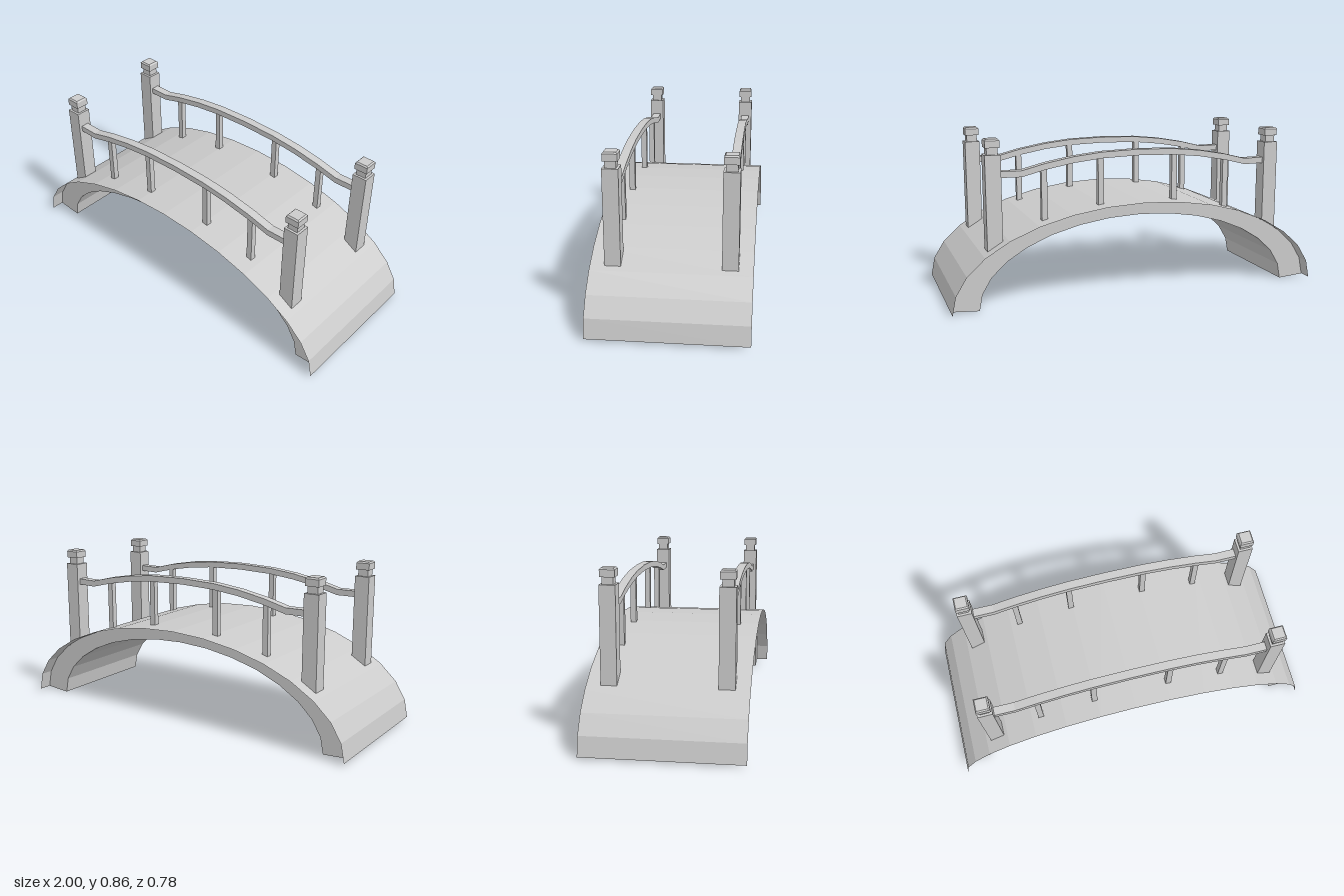
import * as THREE from 'three';

const SEGMENTS = 16;

export function createModel() {
  const bridge = new THREE.Group();
  bridge.name = 'footbridge';
  const material = new THREE.MeshStandardMaterial({ color: 0xcccccc, flatShading: true });
  const sheetMaterial = material.clone();
  sheetMaterial.side = THREE.DoubleSide;

  const add = (parent, name, geometry, x = 0, y = 0, z = 0, mat = material) => {
    const mesh = new THREE.Mesh(geometry, mat);
    mesh.name = name;
    mesh.position.set(x, y, z);
    parent.add(mesh);
    return mesh;
  };
  // Extrudes a front outline, centred in depth
  const slab = (points, depth) =>
    new THREE.ExtrudeGeometry(new THREE.Shape(points), { depth, bevelEnabled: false }).translate(0, 0, -depth / 2);
  // Points of a half ellipse, from right foot to left foot
  const arc = (rx, ry, base) => Array.from({ length: SEGMENTS + 1 }, (_, i) => {
    const a = (i / SEGMENTS) * Math.PI;
    return new THREE.Vector2(rx * Math.cos(a), base + ry * Math.sin(a));
  });

  // Solid arch, set just under the deck surface
  add(bridge, 'arch', slab([...arc(0.998, 0.493, 0.01), ...arc(0.855, 0.433, 0).reverse()], 0.64));

  // Thin curved deck that overhangs the arch on both sides
  const deck = new THREE.PlaneGeometry(2, 0.78, SEGMENTS, 1);
  const pos = deck.attributes.position;
  for (let i = 0; i < pos.count; i++) {
    const a = ((1 - pos.getX(i)) / 2) * Math.PI;
    pos.setXYZ(i, Math.cos(a), 0.01 + 0.495 * Math.sin(a), -pos.getY(i));
  }
  deck.computeVertexNormals();
  add(bridge, 'deck', deck, 0, 0, 0, sheetMaterial);

  // Handrail outline: a shallow arc that levels out at the posts
  const half = [[0.735, 0.68], [0.62, 0.678], [0.5, 0.708], [0.35, 0.735], [0.2, 0.751]];
  const path = [...half, [0, 0.757], ...half.map(([x, y]) => [-x, y]).reverse()];
  const edge = (offset) => path.map(([x, y]) => new THREE.Vector2(x, y + offset));
  const railGeometry = slab([...edge(0.016), ...edge(-0.016).reverse()], 0.045);

  // Square frustum for the bevelled cap top
  const capTop = new THREE.CylinderGeometry(0.06 * Math.SQRT1_2, 0.073 * Math.SQRT1_2, 0.008, 4)
    .rotateY(Math.PI / 4);

  for (const side of [1, -1]) {
    const railing = new THREE.Group();
    railing.name = side > 0 ? 'frontRailing' : 'backRailing';
    railing.position.z = 0.28 * side;
    bridge.add(railing);
    add(railing, 'handrail', railGeometry);

    for (const end of [1, -1]) {
      const post = new THREE.Group();
      post.name = end > 0 ? 'leftPost' : 'rightPost';
      post.position.x = 0.767 * end;
      railing.add(post);
      add(post, 'shaft', new THREE.BoxGeometry(0.079, 0.49, 0.079), 0, 0.535);
      add(post, 'neck', new THREE.BoxGeometry(0.055, 0.04, 0.055), 0, 0.798);
      add(post, 'cap', new THREE.BoxGeometry(0.073, 0.035, 0.073), 0, 0.8325);
      add(post, 'capTop', capTop, 0, 0.854);

      // Balusters between deck and handrail
      for (const [x, bottom, top] of [[0.205, 0.48, 0.745], [0.505, 0.42, 0.7]]) {
        add(railing, 'baluster', new THREE.BoxGeometry(0.03, top - bottom, 0.03), x * end, (top + bottom) / 2);
      }
    }
  }
  return bridge;
}
